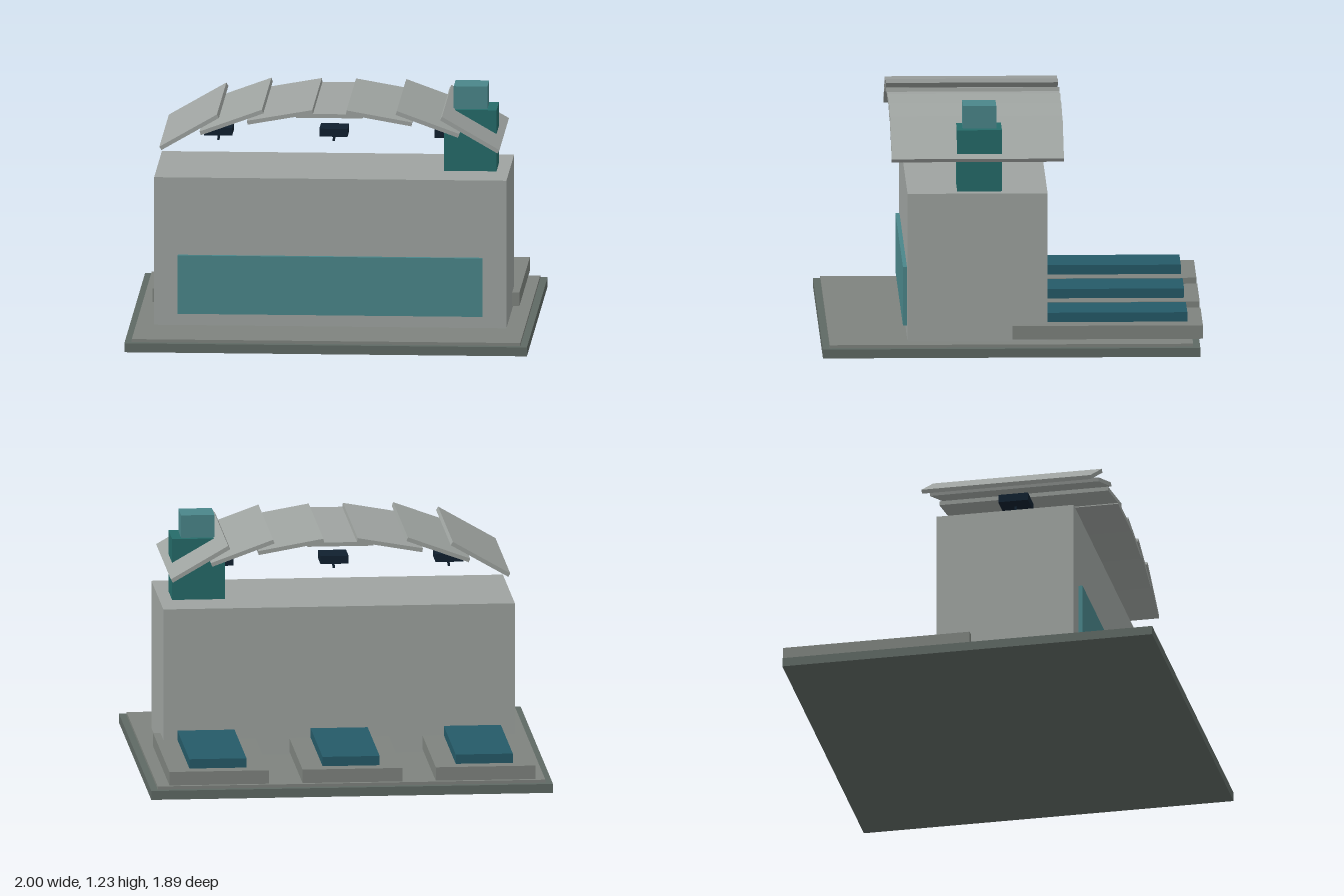
import * as THREE from 'three';

const mat = (color) => new THREE.MeshStandardMaterial({ color });

export function createModel() {
  const model = new THREE.Group();
  const wall = mat(0x9ea3a0), slab = mat(0x7e837e), rim = mat(0x5f6964);
  const glass = mat(0x4a868a), tower = mat(0x256b69), panel = mat(0x255a68), dark = mat(0x10202f);

  // Box given by its minimum and maximum along each axis
  const box = (name, material, [x0, x1], [y0, y1], [z0, z1]) => {
    const mesh = new THREE.Mesh(new THREE.BoxGeometry(x1 - x0, y1 - y0, z1 - z0), material);
    mesh.position.set((x0 + x1) / 2, (y0 + y1) / 2, (z0 + z1) / 2);
    mesh.name = name;
    model.add(mesh);
    return mesh;
  };

  // Ground plates
  box('baseRim', rim, [-1, 1], [0, 0.045], [-0.93, 0.943]);
  box('basePlate', slab, [-0.965, 0.965], [0.045, 0.06], [-0.895, 0.908]);

  // Hall with its long front window
  box('hall', wall, [-0.875, 0.875], [0.06, 0.805], [-0.175, 0.52]);
  box('frontWindow', glass, [-0.757, 0.757], [0.12, 0.415], [0.5, 0.54]);

  // Rear bays and the lamps hanging under the roof
  for (const x of [-0.663, 0, 0.663]) {
    box('bayPad', slab, [x - 0.248, x + 0.248], [0.075, 0.143], [-0.945, 0]);
    box('bayPanel', panel, [x - 0.142, x + 0.142], [0.143, 0.19], [-0.87, -0.07]);
  }
  for (const x of [-0.573, 0, 0.573]) {
    box('lamp', dark, [x - 0.07, x + 0.07], [0.965, 1.005], [0.09, 0.24]);
    box('lampStem', dark, [x - 0.006, x + 0.006], [0.93, 0.97], [0.158, 0.17]).rotation.z = -0.15;
  }

  // Arched roof of seven overlapping slats, tilted in steps of ten degrees
  const slats = [[0, 1.137], [0.246, 1.128], [0.487, 1.1], [0.697, 1.048]];
  slats.forEach(([x, y], i) => {
    for (const side of i ? [-1, 1] : [1]) {
      const slat = box('roofSlat', wall, [-0.165, 0.165], [-0.01, 0.01], [-0.257, 0.598]);
      slat.position.x = side * x;
      slat.position.y = y;
      slat.rotation.z = -side * i * Math.PI / 18;
    }
  });

  // Corner tower and its cap
  box('tower', tower, [0.55, 0.812], [0.805, 1.113], [0.05, 0.272]);
  box('towerCap', glass, [0.598, 0.765], [1.113, 1.227], [0.077, 0.243]);

  return model;
}
